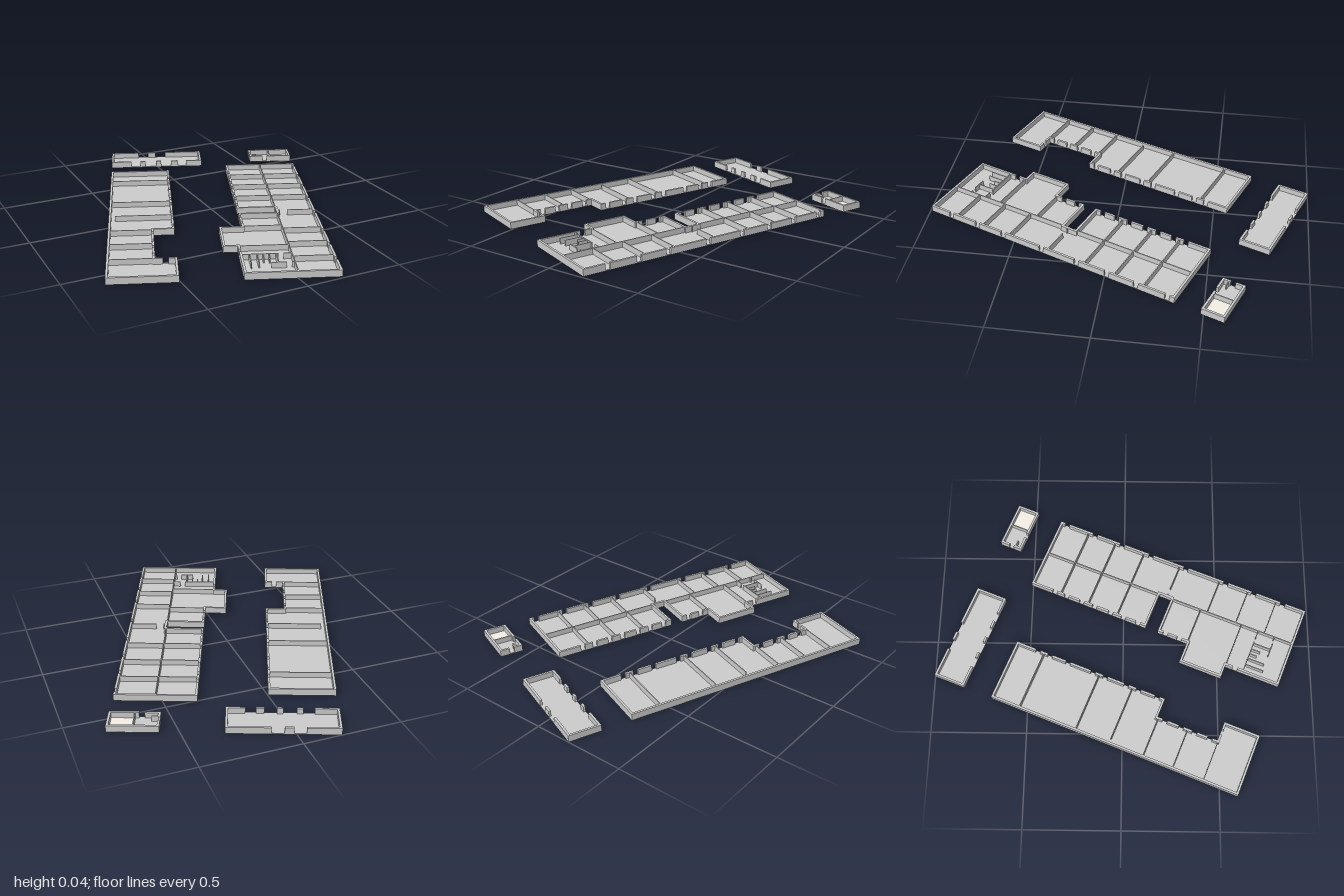
import * as THREE from 'three';

const H = 0.035, FLOOR = 0.005, OUT = 0.012, IN = 0.005;
const grey = new THREE.MeshStandardMaterial({ color: 0xcccccc });
const tan = new THREE.MeshStandardMaterial({ color: 0xf4efe5 });

// Flat slab from a plan outline of [u, v] corners
function floor(parent, name, pts, mat = grey) {
  const shape = new THREE.Shape(pts.map(([u, v]) => new THREE.Vector2(u, -v)));
  const geo = new THREE.ExtrudeGeometry(shape, { depth: FLOOR, bevelEnabled: false });
  geo.rotateX(-Math.PI / 2);
  const mesh = new THREE.Mesh(geo, mat);
  mesh.name = name;
  parent.add(mesh);
}

// Axis-aligned wall from a to b; gaps are [start, end] coordinates along it
function wall(parent, name, a, b, t = IN, gaps = []) {
  const k = Math.abs(b[0] - a[0]) > Math.abs(b[1] - a[1]) ? 0 : 1;
  let start = Math.min(a[k], b[k]);
  const end = Math.max(a[k], b[k]);
  const cuts = gaps.filter(g => g[0] > start && g[1] < end).sort((p, q) => p[0] - q[0]);
  for (const [g0, g1] of [...cuts, [end, end]]) {
    const len = g0 - start, mid = (g0 + start) / 2;
    const geo = k === 0 ? new THREE.BoxGeometry(len, H - FLOOR, t)
      : new THREE.BoxGeometry(t, H - FLOOR, len);
    const mesh = new THREE.Mesh(geo, grey);
    mesh.name = name;
    mesh.position.set(k === 0 ? mid : a[0], (H + FLOOR) / 2, k === 0 ? a[1] : mid);
    parent.add(mesh);
    start = g1;
  }
}

// Outer walls, inset by half their thickness; outline runs clockwise in plan
function shell(parent, pts, gaps = {}) {
  const n = pts.length, h = OUT / 2;
  const dir = i => {
    const a = pts[(i + n) % n], b = pts[(i + 1) % n];
    return [Math.sign(b[0] - a[0]), Math.sign(b[1] - a[1])];
  };
  const inset = pts.map((p, i) => {
    const d = dir(i), e = dir(i - 1);
    return [p[0] - h * (d[1] + e[1]), p[1] + h * (d[0] + e[0])];
  });
  inset.forEach((a, i) => {
    const d = dir(i), b = inset[(i + 1) % n];
    // meet at the corners
    const s = [a[0] - d[0] * h, a[1] - d[1] * h], e = [b[0] + d[0] * h, b[1] + d[1] * h];
    wall(parent, 'outerWall', s, e, OUT, gaps[i]);
  });
}

// Openings of equal width at the given centres
const doors = (centres, w = 0.026) => centres.map(c => [c - w / 2, c + w / 2]);
const rect = (u0, v0, u1, v1) => [[u0, v0], [u1, v0], [u1, v1], [u0, v1]];

function westBlock() {
  const g = new THREE.Group();
  g.name = 'westBlock';
  const L = -0.545, R = -0.21, M = -0.315;
  const pts = [[L, -0.53], [R, -0.53], [R, 0.323], [M, 0.323], [M, 0.655], [R, 0.655], [R, 0.851], [L, 0.851]];
  floor(g, 'westFloor', pts);
  shell(g, pts, {
    1: doors([-0.405, -0.335, -0.23, -0.085, -0.015, 0.105, 0.175, 0.28]),
    3: doors([0.365, 0.455, 0.53, 0.615]),
    4: doors([-0.265]),
  });
  for (const v of [-0.37, -0.05]) wall(g, 'partition', [L, v], [R, v]);
  wall(g, 'partition', [-0.513, 0.14], [R, 0.14]);
  for (const v of [0.327, 0.491, 0.66]) wall(g, 'partition', [L, v], [M, v]);
  return g;
}

function eastBlock() {
  const g = new THREE.Group();
  g.name = 'eastBlock';
  const L = 0.131, R = 0.541, M = 0.336, T = -0.597, B = 0.85;
  const pts = [[L, T], [R, T], [R, B], [0.086, B], [0.086, 0.553], [0.015, 0.553],
    [0.015, 0.317], [L, 0.317], [L, 0.147], [M, 0.147], [M, 0.078], [L, 0.078]];
  floor(g, 'eastFloor', pts);
  shell(g, pts, {
    1: doors([-0.557, -0.387, -0.224, -0.05, 0.157, 0.392, 0.555, 0.722]),
    3: doors([0.605]),
    7: doors([0.19, 0.27]),
    11: doors([-0.46, -0.39, -0.3, -0.225, -0.13, -0.055, 0.03]),
  });
  // Spine wall and rooms on both sides of it
  wall(g, 'spineWall', [M, T], [M, B], IN, [[0.085, 0.11]]);
  for (const v of [-0.426, -0.264, -0.093]) wall(g, 'partition', [L, v], [R, v]);
  wall(g, 'partition', [M, 0.12], [R, 0.12], IN, [[0.355, 0.393]]);
  for (const v of [0.355, 0.52, 0.684]) wall(g, 'partition', [M, v], [R, v]);
  wall(g, 'partition', [L, 0.317], [M, 0.317]);
  wall(g, 'partition', [0.086, 0.553], [M, 0.553]);
  wall(g, 'partition', [0.086, 0.65], [M, 0.65], IN, [[0.27, 0.295]]);
  // Washroom stalls
  for (const [u, v] of [[0.131, 0.75], [0.168, 0.742], [0.196, 0.69], [0.225, 0.7], [0.26, 0.746]])
    wall(g, 'stallWall', [u, 0.65], [u, v]);
  wall(g, 'stallWall', [0.225, 0.746], [0.297, 0.746]);
  wall(g, 'stallWall', [0.322, 0.742], [M, 0.742]);
  return g;
}

function northHall() {
  const g = new THREE.Group();
  g.name = 'northHall';
  const pts = rect(-0.547, -0.859, -0.007, -0.689);
  floor(g, 'northFloor', pts);
  shell(g, pts, {
    0: [[-0.385, -0.327], [-0.282, -0.222]],
    2: [[-0.43, -0.375], [-0.345, -0.28], [-0.25, -0.19], [-0.15, -0.1]],
  });
  return g;
}

function smallHut() {
  const g = new THREE.Group();
  g.name = 'smallHut';
  const D = 0.418;
  floor(g, 'hutFloor', rect(0.295, -0.859, D, -0.737));
  floor(g, 'hutPaleFloor', rect(D, -0.859, 0.543, -0.737), tan);
  shell(g, rect(0.295, -0.859, 0.543, -0.737), { 2: doors([0.385]), 3: doors([-0.795]) });
  wall(g, 'partition', [D, -0.859], [D, -0.737]);
  wall(g, 'partition', [0.3, -0.773], [0.338, -0.773]);
  return g;
}

export function createModel() {
  const model = new THREE.Group();
  model.name = 'floorPlan';
  // The whole site is turned in plan
  const site = new THREE.Group();
  site.name = 'site';
  site.rotation.y = -0.375;
  site.add(westBlock(), eastBlock(), northHall(), smallHut());
  model.add(site);
  return model;
}
